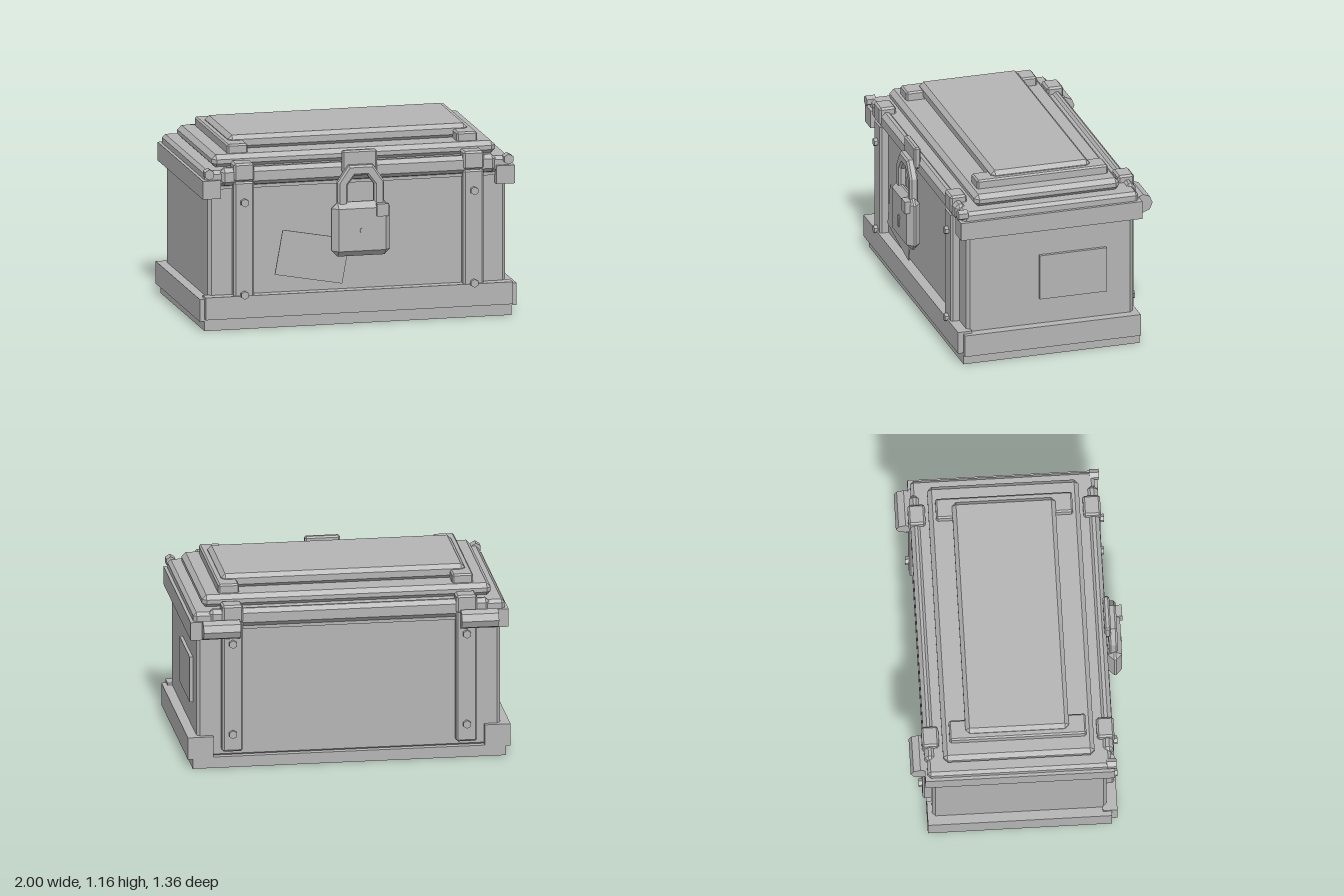
import * as THREE from 'three';
import { ConvexGeometry } from 'three/addons/geometries/ConvexGeometry.js';

export function createModel() {
  const root = new THREE.Group();
  const grey = new THREE.MeshStandardMaterial({ color: 0xb4b4b4 });
  grey.name = 'plain grey';

  const add = (name, geometry, x = 0, y = 0, z = 0) => {
    const mesh = new THREE.Mesh(geometry, grey);
    mesh.name = name;
    mesh.position.set(x, y, z);
    root.add(mesh);
    return mesh;
  };

  // Box given by its limits, with optional chamfered edges
  const block = (name, x0, x1, y0, y1, z0, z1, c = 0) => {
    const w = x1 - x0, h = y1 - y0, d = z1 - z0;
    let geometry = new THREE.BoxGeometry(w, h, d);
    if (c > 0) {
      const pts = [];
      for (const sx of [-1, 1]) for (const sy of [-1, 1]) for (const sz of [-1, 1]) {
        for (let k = 0; k < 3; k++) {
          pts.push(new THREE.Vector3(
            sx * (w / 2 - (k === 0 ? 0 : c)),
            sy * (h / 2 - (k === 1 ? 0 : c)),
            sz * (d / 2 - (k === 2 ? 0 : c))));
        }
      }
      geometry = new ConvexGeometry(pts);
    }
    return add(name, geometry, (x0 + x1) / 2, (y0 + y1) / 2, (z0 + z1) / 2);
  };

  // The same block on both sides of x = 0
  const pair = (name, x0, x1, ...rest) => {
    block(name + 'Left', x0, x1, ...rest);
    block(name + 'Right', -x1, -x0, ...rest);
  };

  // Six-sided stud pointing along z
  const stud = (name, x, y, z, r, length) => {
    const g = new THREE.CylinderGeometry(r, r, length, 6).toNonIndexed();
    g.rotateX(Math.PI / 2);
    g.computeVertexNormals();
    return add(name, g, x, y, z);
  };

  // Flat outline in xy, extruded along z
  const outline = (points) => points.map(([x, y]) => new THREE.Vector2(x, y));

  // Base and body
  block('baseSlab', -0.97, 0.97, 0, 0.07, -0.575, 0.555);
  block('baseFrontRail', -0.97, 0.97, 0.075, 0.215, 0.5, 0.59);
  pair('baseSideRail', 0.84, 1.0, 0.06, 0.2, -0.575, 0.555);
  block('body', -0.94, 0.94, 0.06, 0.92, -0.545, 0.525, 0.02);
  block('bodyTopTrim', -0.91, 0.91, 0.88, 0.905, -0.555, 0.535);

  // Lid rim and stepped top
  pair('lidSideRim', 0.87, 0.985, 0.83, 0.945, -0.59, 0.575);
  block('lidPlate', -0.965, 0.965, 0.9, 1.0, -0.575, 0.555, 0.02);
  block('lidFrontBar', -0.87, 0.87, 0.905, 1.015, 0.5, 0.572, 0.025);
  block('lidBackBar', -0.87, 0.87, 0.905, 1.015, -0.588, -0.52, 0.025);
  block('lidStep', -0.895, 0.895, 0.995, 1.075, -0.475, 0.455, 0.027);
  block('lidTopPanel', -0.755, 0.755, 1.07, 1.16, -0.33, 0.305, 0.025);

  // Straps on the front, back and lid
  pair('frontStrap', 0.66, 0.79, 0.2, 0.93, 0.51, 0.58, 0.012);
  pair('backStrap', 0.66, 0.79, 0.105, 0.95, -0.597, -0.53, 0.012);
  pair('lidStrap', 0.66, 0.79, 1.03, 1.13, -0.43, 0.41, 0.01);
  pair('frontClip', 0.66, 0.79, 0.93, 1.045, 0.475, 0.582, 0.012);
  pair('backClip', 0.66, 0.79, 0.93, 1.045, -0.6, -0.495, 0.012);

  for (const s of [-1, 1]) {
    // Rivets
    for (const y of [0.22, 0.8]) {
      stud('frontRivet', s * 0.725, y, 0.585, 0.026, 0.036);
      stud('backRivet', s * 0.725, y, -0.6, 0.026, 0.036);
    }
    // Corner knobs
    stud('cornerKnob', s * 0.945, 0.985, 0.555, 0.033, 0.06);

    // Eight-sided hinge barrels
    const barrel = new THREE.CylinderGeometry(0.06, 0.06, 0.23, 8).toNonIndexed();
    barrel.rotateZ(Math.PI / 2);
    barrel.computeVertexNormals();
    add('hingeBarrel', barrel, s * 0.8, 0.9, -0.617);
  }

  // Label on the front and plate on the left side
  const label = new THREE.ExtrudeGeometry(
    new THREE.Shape(outline([[-0.53, 0.335], [-0.105, 0.257], [-0.055, 0.535], [-0.48, 0.613]])),
    { depth: 0.008, bevelEnabled: false });
  add('frontLabel', label, 0, 0, 0.565);
  block('sidePlate', 0.935, 0.96, 0.365, 0.655, -0.37, 0.06);

  // Hasp and padlock
  block('hasp', -0.11, 0.11, 0.955, 1.095, 0.56, 0.6, 0.01);
  const loop = new THREE.Shape(outline(
    [[-0.135, 0.74], [0.135, 0.74], [0.135, 0.9], [0.07, 0.995], [-0.07, 0.995], [-0.135, 0.9]]));
  loop.holes.push(new THREE.Path(outline(
    [[-0.095, 0.76], [-0.095, 0.89], [-0.045, 0.955], [0.045, 0.955], [0.095, 0.89], [0.095, 0.76]])));
  add('shackle', new THREE.ExtrudeGeometry(loop, {
    depth: 0.03, bevelThickness: 0.012, bevelSize: 0.012, bevelSegments: 1,
  }), 0, 0, 0.597);
  block('lockBody', -0.185, 0.185, 0.44, 0.78, 0.578, 0.665, 0.037);
  block('lockCatch', 0.09, 0.165, 0.69, 0.768, 0.64, 0.68);
  block('keyholeSlot', -0.009, 0.009, 0.54, 0.6, 0.662, 0.671);
  const eye = new THREE.CylinderGeometry(0.016, 0.016, 0.009, 8);
  eye.rotateX(Math.PI / 2);
  add('keyholeEye', eye, 0, 0.605, 0.6665);

  return root;
}
